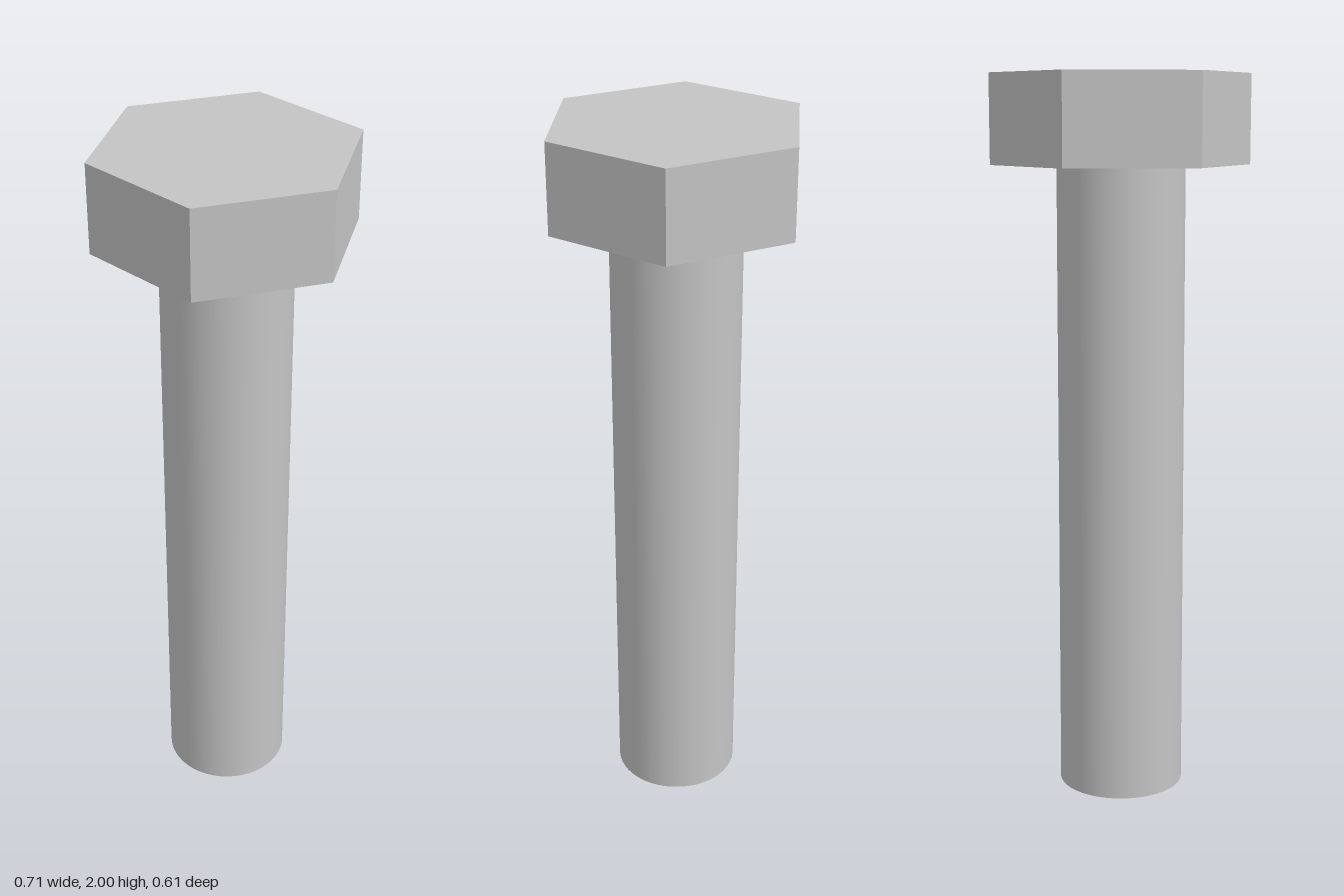
import * as THREE from 'three';

const HEIGHT = 2;
const HEAD_HEIGHT = 0.243;
const HEAD_RADIUS = 0.354;
const SHANK_RADIUS = 0.175;

export function createModel() {
  const bolt = new THREE.Group();
  bolt.name = 'hexBolt';

  const steel = new THREE.MeshStandardMaterial({ color: 0xc4c4c4 });
  steel.name = 'steel';
  // Faceted version of the same steel for the flat-sided head
  const facetedSteel = steel.clone();
  facetedSteel.flatShading = true;

  // Hexagonal head with corners on the x axis
  const headGeometry = new THREE.CylinderGeometry(HEAD_RADIUS, HEAD_RADIUS, HEAD_HEIGHT, 6);
  headGeometry.rotateY(Math.PI / 2);
  const head = new THREE.Mesh(headGeometry, facetedSteel);
  head.name = 'head';
  head.position.y = HEIGHT - HEAD_HEIGHT / 2;

  // Smooth round shank reaching up to the underside of the head
  const shankHeight = HEIGHT - HEAD_HEIGHT;
  const shank = new THREE.Mesh(
    new THREE.CylinderGeometry(SHANK_RADIUS, SHANK_RADIUS, shankHeight, 48),
    steel
  );
  shank.name = 'shank';
  shank.position.y = shankHeight / 2;

  bolt.add(head, shank);
  return bolt;
}
